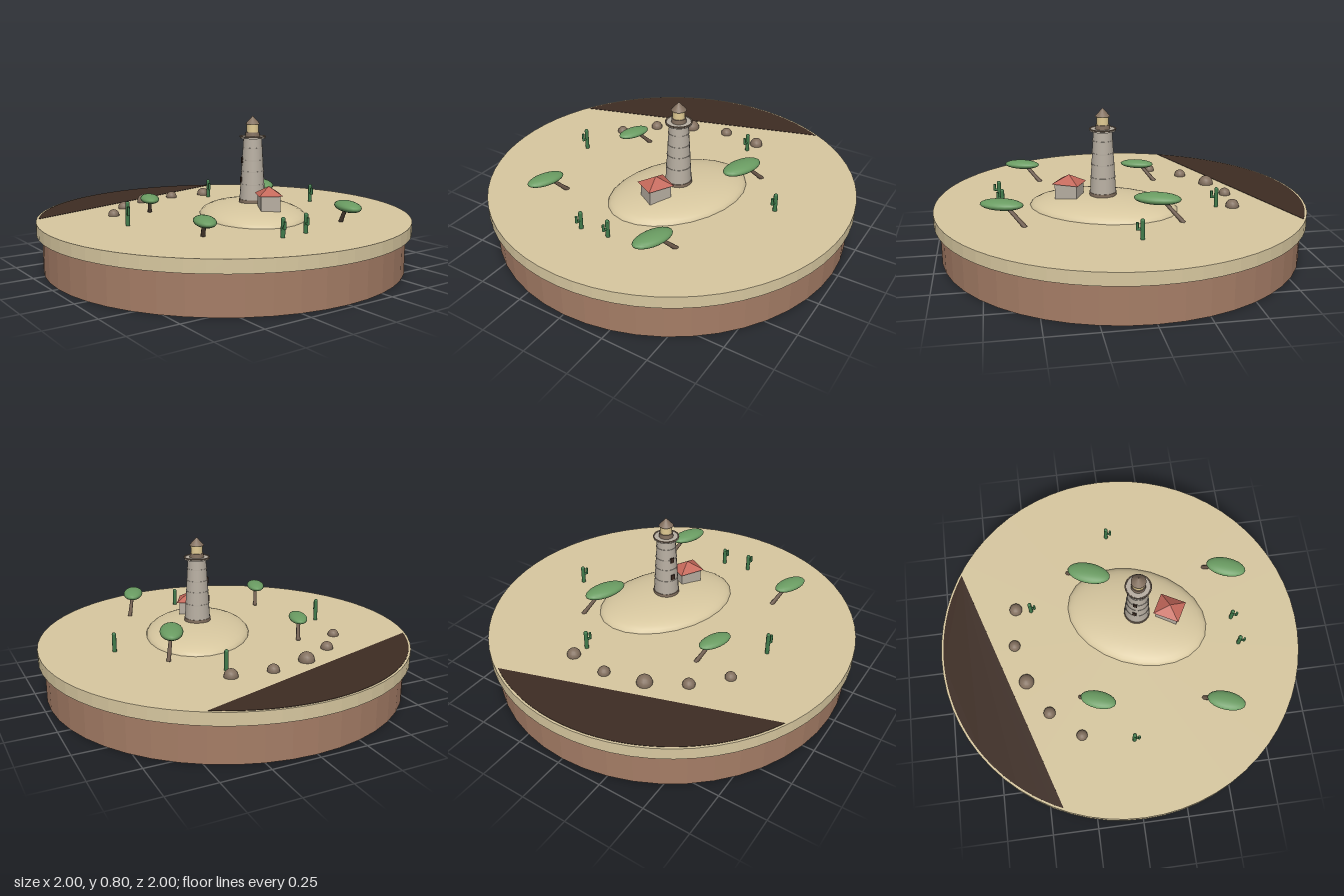
import * as THREE from 'three';

const paint = (name, color, extra = {}) => {
  const m = new THREE.MeshStandardMaterial({ color, ...extra });
  m.name = name;
  return m;
};

export function createModel() {
  const sand = paint('sand', 0xd8c8a0);
  const sandFlat = sand.clone();
  sandFlat.flatShading = true;
  const earth = paint('earth', 0xa57d66, { flatShading: true });
  const dark = paint('dark brown', 0x3d2c23);
  const stone = paint('pale stone', 0xb8afa2);
  const rock = paint('rock', 0x83705f);
  const glow = paint('lantern glass', 0xe3cc94);
  const red = paint('roof red', 0xc4685a, { flatShading: true });
  const leaf = paint('leaf green', 0x6a9c62);
  const cactusGreen = paint('cactus green', 0x417c4c);
  const bark = paint('bark', 0x6e5b4c);

  const model = new THREE.Group();
  model.name = 'islandWithLighthouse';
  const GROUND = 0.265;

  const add = (parent, name, geo, mat, x = 0, y = 0, z = 0) => {
    const mesh = new THREE.Mesh(geo, mat);
    mesh.name = name;
    mesh.position.set(x, y, z);
    parent.add(mesh);
    return mesh;
  };
  const group = (name, x, y, z) => {
    const g = new THREE.Group();
    g.name = name;
    g.position.set(x, y, z);
    model.add(g);
    return g;
  };
  // Upright cylinder or cone given by its lower and upper heights
  const drum = (parent, name, mat, rLow, rTop, y0, y1, sides = 20) =>
    add(parent, name, new THREE.CylinderGeometry(rTop, rLow, y1 - y0, sides), mat, 0, (y0 + y1) / 2, 0);
  // Round bar between two points
  const bar = (parent, name, mat, a, b, r0, r1) => {
    const dir = b.clone().sub(a);
    const mesh = add(parent, name, new THREE.CylinderGeometry(r1, r0, dir.length(), 8), mat);
    mesh.position.copy(a).addScaledVector(dir, 0.5);
    mesh.quaternion.setFromUnitVectors(new THREE.Vector3(0, 1, 0), dir.normalize());
    return mesh;
  };

  // Round base: earth with a wider sand slab on top
  drum(model, 'earthBase', earth, 0.97, 0.97, 0, 0.2, 48);
  drum(model, 'sandSlab', sandFlat, 1, 1, 0.2, GROUND, 64);

  // Dark segment cut off by a straight shoreline
  const a0 = Math.atan2(-0.89, -0.41), a1 = Math.atan2(0.49, -0.86);
  const segment = new THREE.Shape();
  segment.absarc(0, 0, 0.988, a1, a0 + Math.PI * 2, false);
  segment.closePath();
  const plate = add(model, 'darkShore', new THREE.ExtrudeGeometry(segment,
    { depth: 0.003, bevelEnabled: false, curveSegments: 24 }), dark, 0, GROUND - 0.001, 0);
  plate.rotation.x = -Math.PI / 2;

  // Low oval hill
  const hill = add(model, 'hill', new THREE.SphereGeometry(1, 24, 10, 0, Math.PI * 2, 0, Math.PI / 2),
    sand, 0.11, GROUND - 0.005, -0.11);
  hill.scale.set(0.403, 0.075, 0.285);
  hill.rotation.y = -0.436;

  // Lighthouse
  const tower = group('lighthouse', 0.11, 0, -0.11);
  drum(tower, 'plinth', rock, 0.073, 0.072, 0.3, 0.35);
  const radiusAt = y => 0.07 - (y - 0.335) * 0.059;
  const courses = [0.335, 0.43, 0.5, 0.56, 0.625, 0.68];
  for (let i = 0; i < courses.length - 1; i++) {
    const y0 = courses[i], y1 = courses[i + 1];
    drum(tower, 'towerCourse', stone, radiusAt(y0), radiusAt(y1), y0, y1);
    if (i) drum(tower, 'towerBand', stone, radiusAt(y0) + 0.002, radiusAt(y0) + 0.002, y0 - 0.003, y0 + 0.003);
  }
  drum(tower, 'gallery', stone, 0.068, 0.068, 0.677, 0.687, 24);
  const rim = add(tower, 'galleryRim', new THREE.TorusGeometry(0.067, 0.004, 6, 24), rock, 0, 0.687, 0);
  rim.rotation.x = Math.PI / 2;
  drum(tower, 'lanternBase', rock, 0.039, 0.037, 0.685, 0.71);
  drum(tower, 'lantern', glow, 0.032, 0.032, 0.71, 0.755);
  drum(tower, 'lanternCap', rock, 0.04, 0.002, 0.753, 0.795);
  for (const y of [0.455, 0.56]) {
    const r = radiusAt(y), angle = -0.39;
    const pane = add(tower, 'window', new THREE.BoxGeometry(0.022, 0.03, 0.009), dark,
      Math.sin(angle) * r, y, Math.cos(angle) * r);
    pane.rotation.y = angle;
  }

  // Small house with a pyramid roof
  const house = group('house', 0.287, 0, -0.083);
  house.rotation.y = -0.5;
  add(house, 'walls', new THREE.BoxGeometry(0.122, 0.11, 0.1), stone, 0, 0.345, 0);
  const roof = new THREE.ConeGeometry(Math.SQRT1_2, 1, 4);
  roof.rotateY(Math.PI / 4);
  roof.scale(0.145, 0.044, 0.125);
  add(house, 'roof', roof, red, 0, 0.42, 0);

  // Leaning flat-topped trees: x, z, canopy height, half length
  for (const [x, z, y, s] of [[-0.13, -0.36, 0.375, 0.122], [0.645, -0.3, 0.367, 0.112],
    [-0.165, 0.37, 0.357, 0.097], [0.51, 0.465, 0.359, 0.103]]) {
    const tree = group('tree', x, 0, z);
    const crown = add(tree, 'canopy', new THREE.SphereGeometry(1, 20, 12), leaf, 0, y, 0);
    crown.scale.set(s, s * 0.24, s * 0.5);
    crown.rotation.y = -0.36;
    bar(tree, 'trunk', bark, new THREE.Vector3(-s, GROUND - 0.005, -s * 0.55),
      new THREE.Vector3(-s * 0.15, y, -s * 0.08), 0.012, 0.009);
  }

  // Cacti with one raised arm: x, z, top
  for (const [x, z, top] of [[0, -0.625, 0.366], [-0.48, -0.218, 0.37], [0.638, -0.032, 0.362],
    [0.652, 0.122, 0.362], [0, 0.59, 0.388]]) {
    const cactus = group('cactus', x, 0, z);
    cactus.rotation.y = -0.3;
    const h = top - GROUND, elbow = GROUND + h * 0.5;
    drum(cactus, 'stem', cactusGreen, 0.011, 0.011, GROUND, top - 0.008, 10);
    add(cactus, 'stemTip', new THREE.SphereGeometry(0.011, 10, 6), cactusGreen, 0, top - 0.009, 0);
    bar(cactus, 'armBase', cactusGreen, new THREE.Vector3(0, elbow, 0),
      new THREE.Vector3(0.025, elbow, 0), 0.007, 0.007);
    bar(cactus, 'arm', cactusGreen, new THREE.Vector3(0.025, elbow - 0.005, 0),
      new THREE.Vector3(0.025, elbow + h * 0.32, 0), 0.007, 0.007);
  }

  // Boulders along the shore: x, z, radius
  for (const [x, z, r] of [[-0.565, -0.235, 0.036], [-0.59, -0.02, 0.032], [-0.543, 0.195, 0.042],
    [-0.435, 0.385, 0.033], [-0.275, 0.53, 0.03]])
    add(model, 'boulder', new THREE.SphereGeometry(r, 14, 10), rock, x, GROUND + r * 0.15, z);

  return model;
}
